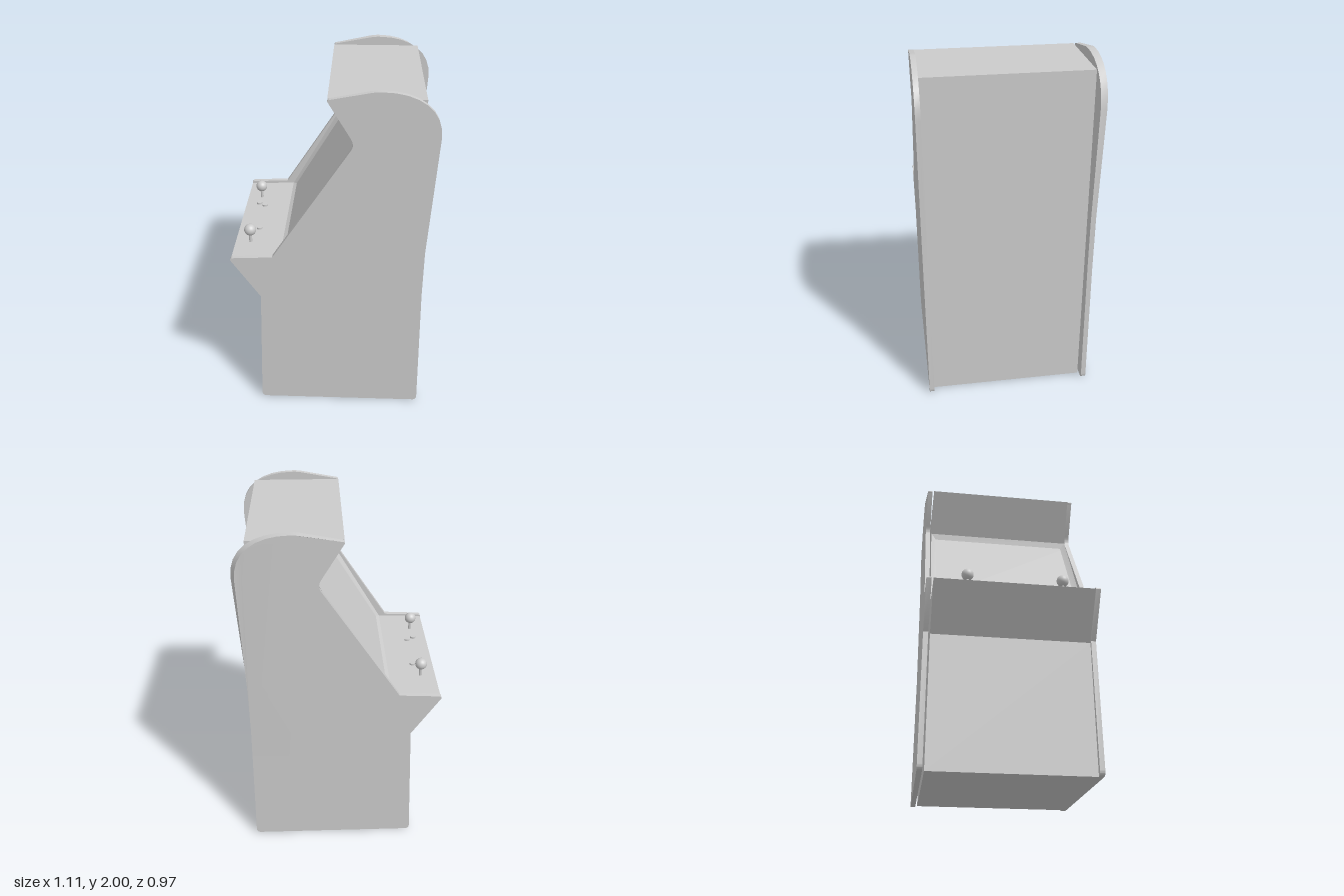
import * as THREE from 'three';
import { toCreasedNormals } from 'three/addons/utils/BufferGeometryUtils.js';

const grey = new THREE.MeshStandardMaterial({ color: 0xcccccc });
const greyDouble = new THREE.MeshStandardMaterial({ color: 0xcccccc, side: THREE.DoubleSide });

function addMesh(parent, name, geometry, material = grey) {
  const mesh = new THREE.Mesh(geometry, material);
  mesh.name = name;
  parent.add(mesh);
  return mesh;
}

// Extrude an x/y shape between two z planes
function slab(shape, z0, z1) {
  const g = new THREE.ExtrudeGeometry(shape, { depth: z1 - z0, bevelEnabled: false, curveSegments: 8 });
  return g.translate(0, 0, z0);
}

// Cabinet silhouette; the player side faces -x
function sideShape() {
  const s = new THREE.Shape();
  s.moveTo(-0.4, 0.005);
  s.lineTo(0.5, 0.005);
  s.quadraticCurveTo(0.525, 0.005, 0.525, 0.035);
  s.lineTo(0.512, 0.8);
  s.lineTo(0.514, 1.08);
  s.lineTo(0.555, 1.76);
  s.bezierCurveTo(0.56, 1.91, 0.44, 2.0, 0.25, 2.0);
  s.quadraticCurveTo(0.22, 2.0, 0.19, 1.994);
  s.lineTo(0, 1.958);
  s.quadraticCurveTo(-0.025, 1.955, -0.012, 1.94);
  s.lineTo(0.1, 1.755);
  s.quadraticCurveTo(0.122, 1.72, 0.105, 1.69);
  s.lineTo(-0.325, 1.033);
  s.lineTo(-0.545, 1.022);
  s.quadraticCurveTo(-0.568, 1.018, -0.555, 1.0);
  s.lineTo(-0.4, 0.765);
  s.lineTo(-0.427, 0.035);
  s.quadraticCurveTo(-0.427, 0.005, -0.4, 0.005);
  return s;
}

export function createModel() {
  const group = new THREE.Group();
  const zFar = -0.435, zNear = 0.457;

  // Side panels; the far one flares outwards and tapers at its upper back
  addMesh(group, 'nearSidePanel', toCreasedNormals(slab(sideShape(), zNear, 0.485), 0.5));
  const far = slab(sideShape(), -0.473, -0.445);
  const p = far.attributes.position;
  for (let i = 0; i < p.count; i++) {
    const x = p.getX(i), y = p.getY(i);
    if (p.getZ(i) < -0.46 && x > 0.15 && y > 1.74) {
      p.setXYZ(i, x - Math.max(0, x - 0.2) * 0.06, y, -0.486);
    }
  }
  addMesh(group, 'farSidePanel', toCreasedNormals(far, 0.5));

  // Body between the panels, with the screen set back from its rim
  const rimBottom = [-0.285, 1.022], rimTop = [0.118, 1.71];
  const screenBottom = [-0.262, 1.035], screenTop = [0.122, 1.67];
  const profile = [
    [-0.4, 0.005], [0.477, 0.005], [0.477, 1.953], [-0.017, 1.953],
    rimTop, screenTop, screenBottom, rimBottom,
    [-0.557, 1.012], [-0.385, 0.76],
  ];
  const bodyShape = new THREE.Shape(profile.map(([x, y]) => new THREE.Vector2(x, y)));
  addMesh(group, 'cabinetBody', slab(bodyShape, zFar, zNear));

  // Sloping bezel at each side of the screen
  for (const [z, inward, name] of [[zFar, 0.03, 'farBezel'], [zNear, -0.03, 'nearBezel']]) {
    const corners = [
      [...rimBottom, z], [...rimTop, z],
      [...screenTop, z + inward], [...screenBottom, z + inward],
    ];
    const g = new THREE.BufferGeometry();
    g.setAttribute('position', new THREE.Float32BufferAttribute(corners.flat(), 3));
    g.setIndex(inward > 0 ? [0, 2, 1, 0, 3, 2] : [0, 1, 2, 0, 2, 3]);
    g.computeVertexNormals();
    addMesh(group, name, g, greyDouble);
  }

  // Joysticks and buttons on the control deck
  const controls = [
    { z: -0.245, buttons: [-0.157, -0.13] },
    { z: 0.292, buttons: [0.177, 0.148] },
  ];
  controls.forEach(({ z, buttons }) => {
    const joystick = new THREE.Group();
    joystick.name = 'joystick';
    joystick.position.set(-0.47, 1.015, z);
    addMesh(joystick, 'joystickStem', new THREE.CylinderGeometry(0.009, 0.009, 0.06, 16)).position.y = 0.025;
    addMesh(joystick, 'joystickBall', new THREE.SphereGeometry(0.034, 24, 16)).position.y = 0.078;
    group.add(joystick);
    buttons.forEach((bz, i) => {
      const button = addMesh(group, 'button', new THREE.CylinderGeometry(0.017, 0.017, 0.016, 24));
      button.position.set(-0.476 + i * 0.039, 1.019, bz);
    });
  });

  return group;
}
